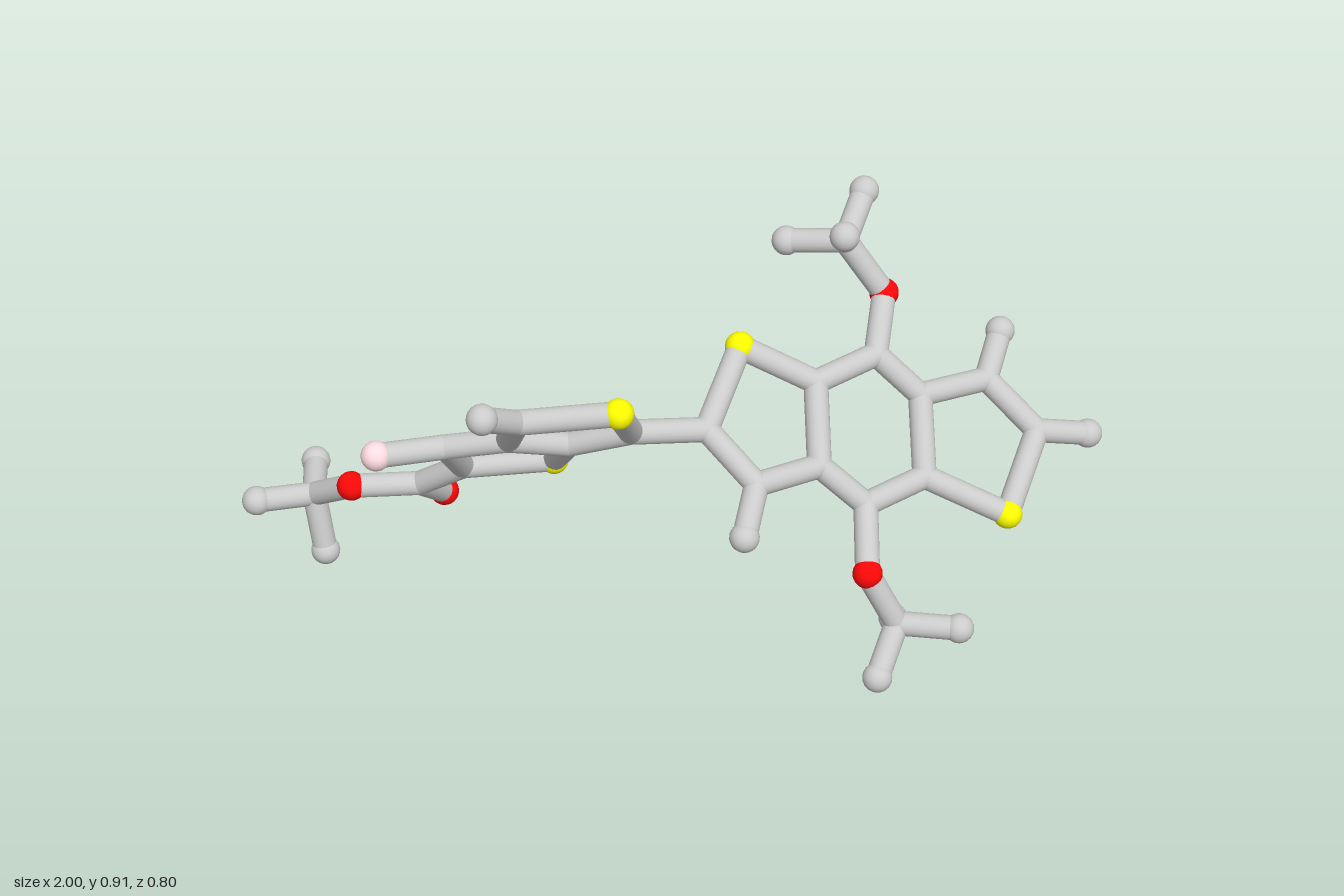
import * as THREE from 'three';

const STICK = 0.028, BALL = 0.034;
const COLORS = { C: 0xcccccc, H: 0xcccccc, S: 0xffff00, O: 0xff0808, F: 0xffdde4 };
const NAMES = { C: 'joint', H: 'endBall', S: 'sulfurBall', O: 'oxygenBall', F: 'fluorineBall' };

// Each part: atoms (first letter = element, then position) and chains of bonded atoms.
const PARTS = {
  leftDoubleRing: {
    atoms: {
      S1: [-0.15, 0.736, 0.28], C1: [-0.365, 0.71, 0.258], H1: [-0.44, 0.777, 0.335],
      C2: [-0.385, 0.565, 0.118], C3: [-0.25, 0.52, 0.082], C4: [-0.115, 0.583, 0.135],
      S2: [-0.28, 0.375, -0.062], C5: [-0.487, 0.38, -0.045], C6: [-0.525, 0.53, 0.085],
      F1: [-0.675, 0.545, 0.127],
    },
    bonds: ['S1 C1 C2 C3 C4 S1', 'C1 H1', 'C3 S2 C5 C6 C2', 'C6 F1', 'C4 C10'],
  },
  esterTail: {
    atoms: {
      C7: [-0.59, 0.29, -0.11], O1: [-0.535, 0.19, -0.21], O2: [-0.745, 0.308, -0.087],
      C8: [-0.837, 0.228, -0.172], H2: [-0.968, 0.243, -0.135],
      H3: [-0.82, 0.082, -0.145], H4: [-0.835, 0.23, -0.3],
    },
    bonds: ['C5 C7 O1', 'C7 O2 C8 H2', 'H3 C8 H4'],
  },
  rightTripleRing: {
    atoms: {
      C10: [0.055, 0.553, 0.097], S3: [0.143, 0.664, -0.06], C11: [0.16, 0.453, 0.175],
      H5: [0.125, 0.376, 0.265], C12: [0.313, 0.577, -0.033], C13: [0.31, 0.435, 0.093],
      C14: [0.46, 0.587, -0.117], C15: [0.562, 0.49, -0.088], C16: [0.56, 0.35, 0.038],
      C17: [0.414, 0.345, 0.124], S4: [0.75, 0.263, 0.08], C18: [0.84, 0.372, -0.09],
      H6: [0.966, 0.34, -0.113], C19: [0.727, 0.475, -0.16], H7: [0.77, 0.547, -0.25],
    },
    bonds: ['C10 S3 C12 C13 C11 C10', 'C11 H5', 'C12 C14 C15 C16 C17 C13',
      'C16 S4 C18 C19 C15', 'C18 H6', 'C19 H7'],
  },
  upperMethoxy: {
    atoms: {
      O3: [0.493, 0.668, -0.247], C20: [0.402, 0.8, -0.268], H8: [0.385, 0.877, -0.163],
      H9: [0.455, 0.873, -0.363], H10: [0.273, 0.777, -0.316],
    },
    bonds: ['C14 O3 C20 H8', 'H9 C20 H10'],
  },
  lowerMethoxy: {
    atoms: {
      O4: [0.403, 0.256, 0.264], C21: [0.473, 0.118, 0.275], H11: [0.484, 0.04, 0.162],
      H12: [0.42, 0.036, 0.364], H13: [0.61, 0.12, 0.307],
    },
    bonds: ['C17 O4 C21 H11', 'H12 C21 H13'],
  },
};

export function createModel() {
  const model = new THREE.Group();
  model.name = 'molecule';

  const materials = {};
  for (const [el, color] of Object.entries(COLORS)) {
    materials[el] = new THREE.MeshStandardMaterial({ color });
  }
  const ball = new THREE.SphereGeometry(BALL, 20, 14);
  const joint = new THREE.SphereGeometry(STICK, 20, 14);
  const stick = new THREE.CylinderGeometry(STICK, STICK, 1, 20, 1, true);
  const up = new THREE.Vector3(0, 1, 0);

  // Positions are shared, since some bonds link two parts
  const at = {};
  for (const { atoms } of Object.values(PARTS)) {
    for (const id in atoms) at[id] = new THREE.Vector3(...atoms[id]);
  }

  for (const [partName, { atoms, bonds }] of Object.entries(PARTS)) {
    const part = new THREE.Group();
    part.name = partName;

    // Balls at coloured atoms and free ends, stick-sized joints elsewhere
    for (const id in atoms) {
      const mesh = new THREE.Mesh(id[0] === 'C' ? joint : ball, materials[id[0]]);
      mesh.name = NAMES[id[0]];
      mesh.position.copy(at[id]);
      part.add(mesh);
    }

    // Sticks between consecutive atoms of each chain
    for (const chain of bonds) {
      const ids = chain.split(' ');
      for (let i = 1; i < ids.length; i++) {
        const a = at[ids[i - 1]], b = at[ids[i]];
        const dir = b.clone().sub(a);
        const mesh = new THREE.Mesh(stick, materials.C);
        mesh.name = 'bondStick';
        mesh.position.copy(a).add(b).multiplyScalar(0.5);
        mesh.scale.y = dir.length();
        mesh.quaternion.setFromUnitVectors(up, dir.normalize());
        part.add(mesh);
      }
    }
    model.add(part);
  }
  return model;
}
